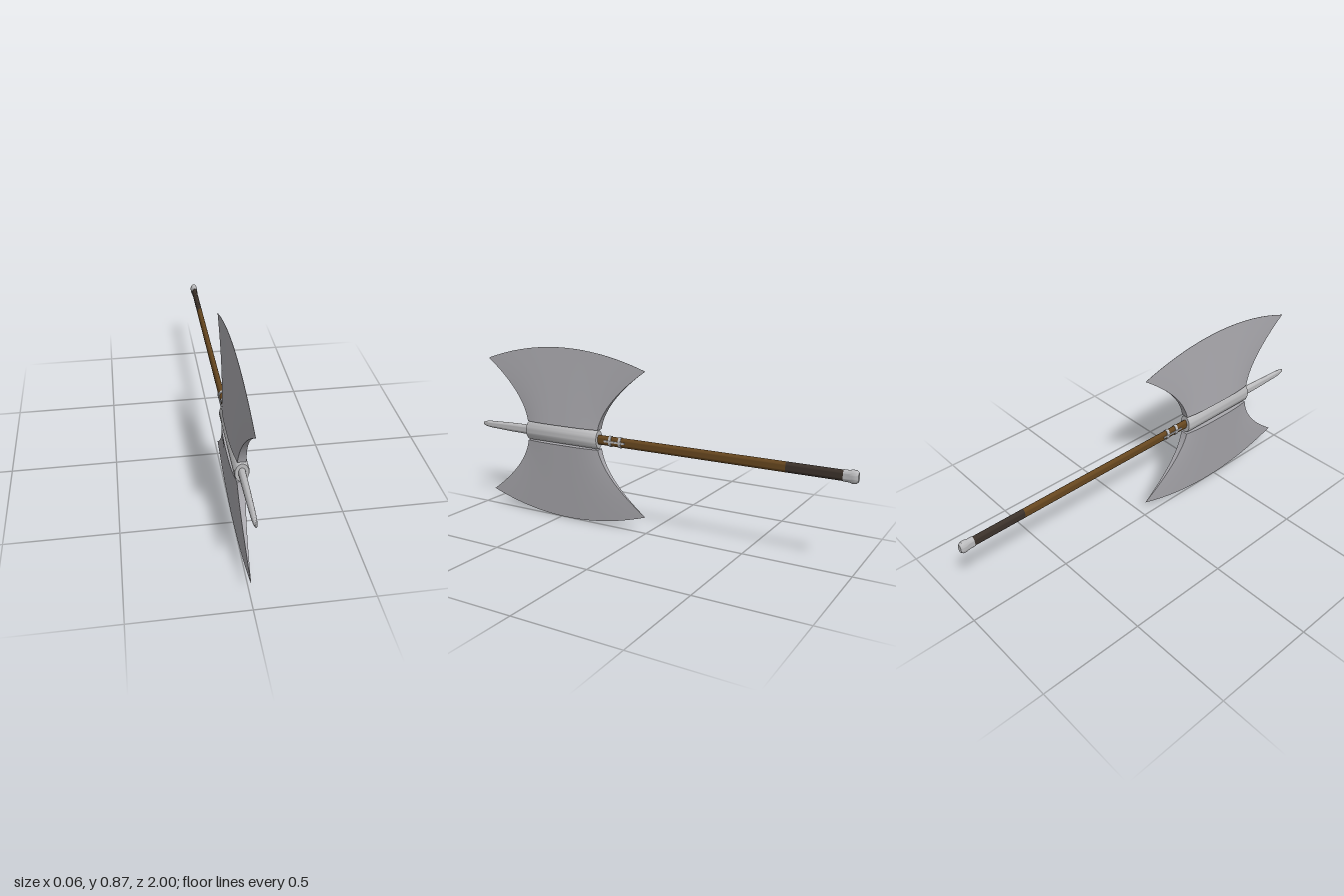
import * as THREE from 'three';
import { toCreasedNormals } from 'three/addons/utils/BufferGeometryUtils.js';

const mat = (name, color) => {
  const m = new THREE.MeshStandardMaterial({ color });
  m.name = name;
  return m;
};

// Turned part along z: profile of [radius in y, z], flattened in x
function turned(name, profile, material, flat = 0.6, sides = 32) {
  const pts = profile.map(([r, z]) => new THREE.Vector2(r, z));
  const g = new THREE.LatheGeometry(pts, sides);
  g.rotateX(Math.PI / 2);
  g.scale(flat, 1, 1);
  const mesh = new THREE.Mesh(toCreasedNormals(g, 0.6), material);
  mesh.name = name;
  return mesh;
}

// Flared wedge blade: closed sections lofted from the thick root to the thin rim
function bladeGeometry() {
  const rows = 20, n = 25;
  const side = new THREE.QuadraticBezierCurve(
    new THREE.Vector2(0.212, 0.049), new THREE.Vector2(0.24, 0.19), new THREE.Vector2(0.468, 0.352));
  const pos = [], idx = [];
  for (let i = 0; i <= rows; i++) {
    const t = i / rows, e = side.getPoint(t);
    const mid = THREE.MathUtils.lerp(0.049, 0.433, t);
    const half = 0.031 * (1 - t) + 0.0008;
    for (let k = 0; k < 2 * n; k++) {
      const j = k < n ? k : 2 * n - 1 - k;
      const u = (2 * j) / (n - 1) - 1;
      const x = half * (1 - 0.42 * Math.abs(u) ** 3);
      pos.push(k < n ? x : -x, mid + (e.y - mid) * u * u, e.x * u);
    }
  }
  const ring = 2 * n;
  for (let i = 0; i < rows; i++) {
    for (let k = 0; k < ring; k++) {
      const a = i * ring + k, b = i * ring + (k + 1) % ring;
      idx.push(a, a + ring, b, b, a + ring, b + ring);
    }
  }
  // Root and rim closures
  const top = rows * ring;
  for (let j = 0; j < n - 1; j++) {
    const p = ring - 1 - j, q = p - 1;
    idx.push(j, j + 1, q, j, q, p);
    idx.push(top + j, top + q, top + j + 1, top + j, top + p, top + q);
  }
  const g = new THREE.BufferGeometry();
  g.setAttribute('position', new THREE.Float32BufferAttribute(pos, 3));
  g.setIndex(idx);
  return toCreasedNormals(g, 0.6);
}

export function createModel() {
  const steel = mat('blade steel', 0xa9a8ad);
  const bright = mat('polished steel', 0xbcbcbe);
  const wood = mat('brown wood', 0x67471f);
  const grip = mat('dark grip', 0x3c322b);

  const axe = new THREE.Group();
  axe.name = 'doubleAxe';
  const body = new THREE.Group();
  body.name = 'axeBody';
  body.position.y = 0.434;
  axe.add(body);

  // Two mirrored blades
  const blade = bladeGeometry();
  ['upperBlade', 'lowerBlade'].forEach((name, i) => {
    const m = new THREE.Mesh(blade, steel);
    m.name = name;
    m.position.z = 0.472;
    m.rotation.z = i * Math.PI;
    body.add(m);
  });

  // Socket and front spike
  body.add(turned('socket', [[0, 0.264], [0.044, 0.264], [0.048, 0.27], [0.048, 0.684], [0.044, 0.69], [0, 0.69]], bright, 0.65, 40));
  body.add(turned('spike', [[0.025, 0.685], [0.023, 0.8], [0.018, 0.94], [0.015, 0.97], [0.008, 0.995], [0, 1]], bright));

  // Shaft, grip and pommel
  body.add(turned('shaft', [[0.024, -0.69], [0.024, 0.27]], wood, 0.55));
  body.add(turned('grip', [[0.024, -0.95], [0.024, -0.69]], grip, 0.55));
  body.add(turned('pommel', [[0, -1], [0.02, -1], [0.029, -0.99], [0.03, -0.975], [0.026, -0.96], [0.026, -0.937], [0, -0.937]], bright));

  // Bands round the shaft, joined by side straps
  for (const z of [0.14, 0.195]) {
    body.add(turned('band', [[0.022, z - 0.007], [0.027, z - 0.007], [0.027, z + 0.007], [0.022, z + 0.007]], bright));
  }
  for (const s of [-1, 1]) {
    const strap = new THREE.Mesh(new THREE.BoxGeometry(0.005, 0.009, 0.115), bright);
    strap.name = 'sideStrap';
    strap.position.set(s * 0.0145, 0, 0.168);
    body.add(strap);
  }
  return axe;
}
